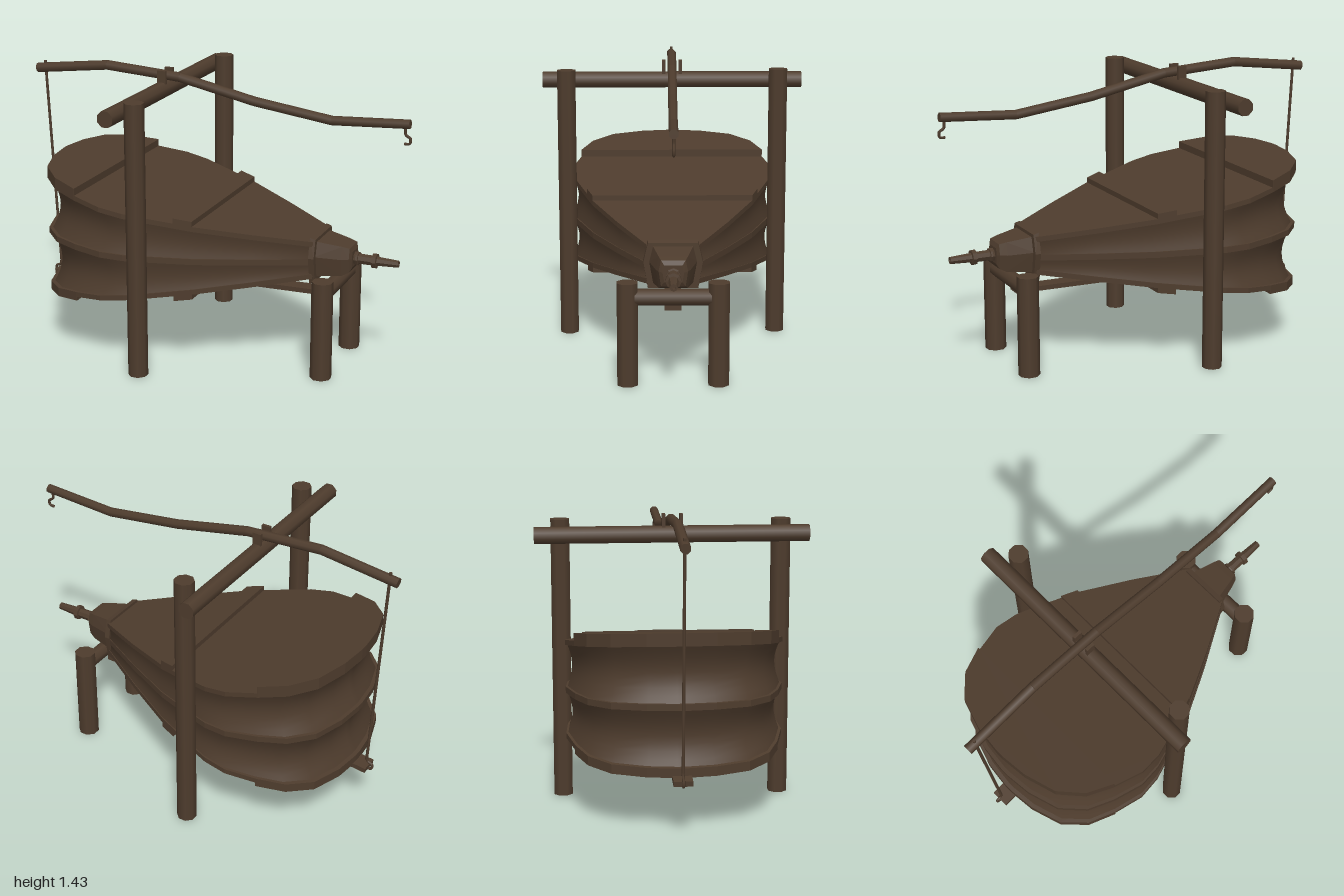
import * as THREE from 'three';
import { ConvexGeometry } from 'three/addons/geometries/ConvexGeometry.js';

const V = (x, y, z = 0) => new THREE.Vector3(x, y, z);

// Half outline of the bellows boards: [x, half width]
const OUTLINE = [[-0.85, 0.02], [-0.835, 0.16], [-0.785, 0.32], [-0.685, 0.425], [-0.555, 0.48], [-0.4, 0.52],
  [-0.28, 0.51], [-0.2, 0.485], [0.04, 0.4], [0.3, 0.27], [0.56, 0.125]];

function halfWidth(x) {
  for (let i = 1; i < OUTLINE.length; i++) {
    const [x0, w0] = OUTLINE[i - 1], [x1, w1] = OUTLINE[i];
    if (x <= x1) return w0 + (w1 - w0) * (x - x0) / (x1 - x0);
  }
  return OUTLINE[OUTLINE.length - 1][1];
}

// Sloping planes of the three boards
const topY = x => 0.76 - 0.18 * x;
const midY = x => 0.575 - 0.035 * x;
const botY = x => 0.4 + 0.125 * x;

export function createModel() {
  const model = new THREE.Group();
  const wood = new THREE.MeshStandardMaterial({ color: 0x4e3c2d, side: THREE.DoubleSide });
  wood.name = 'dark brown wood';

  const add = (name, geometry) => {
    const mesh = new THREE.Mesh(geometry, wood);
    mesh.name = name;
    model.add(mesh);
    return mesh;
  };

  // Round timber between two points
  const pole = (name, a, b, ra, rb = ra, sides = 8) => {
    const dir = b.clone().sub(a);
    const geo = new THREE.CylinderGeometry(rb, ra, dir.length(), sides);
    geo.rotateY(Math.PI / sides);
    const mesh = add(name, geo);
    mesh.position.copy(a).add(b).multiplyScalar(0.5);
    mesh.quaternion.setFromUnitVectors(V(0, 1, 0), dir.normalize());
  };

  // Flat bar along x between two points
  const bar = (name, a, b, height, width) => {
    const mesh = add(name, new THREE.BoxGeometry(a.distanceTo(b), height, width));
    mesh.position.copy(a).add(b).multiplyScalar(0.5);
    mesh.rotation.z = Math.atan2(b.y - a.y, b.x - a.x);
  };

  // Slab cut from the outline between x0 and x1, sheared onto a sloping plane
  const slab = (name, x0, x1, plane, offset, thickness, scale = 1) => {
    const xs = [x0, ...OUTLINE.map(p => p[0]).filter(x => x > x0 && x < x1), x1];
    const side = xs.map(x => new THREE.Vector2(x, halfWidth(x) * scale));
    const back = side.map(p => new THREE.Vector2(p.x, -p.y)).reverse();
    const geo = new THREE.ExtrudeGeometry(new THREE.Shape([...side, ...back]), { depth: thickness, bevelEnabled: false });
    geo.rotateX(-Math.PI / 2);
    const p = geo.attributes.position;
    for (let i = 0; i < p.count; i++) p.setY(i, p.getY(i) + plane(p.getX(i)) + offset);
    geo.computeVertexNormals();
    add(name, geo);
  };

  // Bellows boards with thick rear planks and cross battens
  slab('topBoard', -0.85, 0.56, topY, -0.025, 0.025);
  slab('topRearPlank', -0.85, -0.55, topY, 0, 0.036);
  slab('topBatten', -0.045, 0.04, topY, 0, 0.026);
  slab('middleBoard', -0.85, 0.56, midY, -0.015, 0.03);
  slab('bottomBoard', -0.85, 0.56, botY, 0, 0.025);
  slab('bottomRearPlank', -0.85, -0.55, botY, -0.02, 0.02);
  slab('bottomBatten', -0.045, 0.04, botY, -0.025, 0.025);

  // Leather folds, pulled inwards between neighbouring boards
  const leather = (name, lower, upper) => {
    const loop = [...OUTLINE, ...OUTLINE.slice().reverse().map(([x, w]) => [x, -w])];
    const rows = 8, n = loop.length, pos = [], index = [];
    for (let r = 0; r <= rows; r++) {
      const t = r / rows, k = 0.012 + 0.032 * Math.sin(Math.PI * t);
      for (const [x, z] of loop) {
        pos.push(0.56 + (x - 0.56) * (1 - k), lower(x) + (upper(x) - lower(x)) * t, z * (1 - 1.4 * k));
      }
    }
    for (let r = 0; r < rows; r++) {
      for (let i = 0; i < n; i++) {
        const a = r * n + i, b = r * n + (i + 1) % n;
        index.push(a, b, b + n, a, b + n, a + n);
      }
    }
    const geo = new THREE.BufferGeometry();
    geo.setAttribute('position', new THREE.Float32BufferAttribute(pos, 3));
    geo.setIndex(index);
    geo.computeVertexNormals();
    add(name, geo);
  };
  leather('upperLeather', x => midY(x) + 0.01, x => topY(x) - 0.02);
  leather('lowerLeather', x => botY(x) + 0.02, x => midY(x) - 0.01);

  // Nose: collar, tapered block
  const section = (x, yMid, hy, hz) => [[1, 0.84], [0.15, 1], [-1, 0.84]].flatMap(([v, w]) =>
    [V(x, yMid + v * hy, w * hz), V(x, yMid + v * hy, -w * hz)]);
  add('noseCollar', new ConvexGeometry([...section(0.542, 0.56, 0.118, 0.142), ...section(0.57, 0.56, 0.11, 0.14)]));
  add('noseBlock', new ConvexGeometry([...section(0.56, 0.565, 0.09, 0.115), ...section(0.69, 0.56, 0.075, 0.08),
    ...section(0.725, 0.565, 0.062, 0.068), ...section(0.735, 0.565, 0.04, 0.05)]));

  // Nozzle with rings
  const nozzle = [[0, 0.72], [0.03, 0.72], [0.035, 0.745], [0.035, 0.755], [0.027, 0.757], [0.026, 0.825], [0.038, 0.827],
    [0.038, 0.848], [0.024, 0.85], [0.018, 0.957], [0.009, 0.957], [0.009, 0.93], [0, 0.93]];
  const nozzleGeo = new THREE.LatheGeometry(nozzle.map(([r, x]) => new THREE.Vector2(r, x)), 8).toNonIndexed();
  nozzleGeo.computeVertexNormals();
  nozzleGeo.rotateZ(-Math.PI / 2);
  add('nozzle', nozzleGeo).position.y = 0.562;

  // Supporting frame
  for (const s of [1, -1]) {
    const side = s > 0 ? 'front' : 'back';
    pole(side + 'TallPost', V(-0.19, s > 0 ? 0 : 0.008, s * 0.535), V(-0.19, s > 0 ? 1.375 : 1.382, s * 0.535), 0.049);
    pole(side + 'ShortLeg', V(0.645, 0, s * 0.215), V(0.645, 0.5, s * 0.215), 0.053);
    // Cheeks that hold the lever on the beam
    const cheek = add(side + 'LeverCheek', new THREE.BoxGeometry(0.045, 0.075, 0.016));
    cheek.position.set(-0.278, 1.375, s * 0.042);
  }
  pole('topBeam', V(-0.28, 1.315, 0.66), V(-0.28, 1.315, -0.66), 0.042);
  pole('legBeam', V(0.643, 0.428, 0.19), V(0.643, 0.428, -0.19), 0.04);

  // Bent lever pole
  const lever = [V(-1, 1.353), V(-0.6, 1.403), V(-0.2, 1.378), V(0.2, 1.295), V(0.6, 1.242), V(0.988, 1.265)];
  for (let i = 1; i < lever.length; i++) {
    const stretch = lever[i].clone().sub(lever[i - 1]).setLength(i < lever.length - 1 ? 0.002 : 0);
    pole('lever', lever[i - 1], lever[i].clone().add(stretch), 0.0255 - i * 0.0005, 0.025 - i * 0.0005);
  }

  // Pull rod and bottom arm
  pole('pullRod', V(-0.957, 1.395), V(-0.9, 0.305), 0.008, 0.008, 6);
  bar('bottomArm', V(-0.915, 0.264), V(-0.53, 0.305), 0.025, 0.09);
  bar('supportBar', V(-0.3, 0.352), V(0.63, 0.37), 0.024, 0.08);

  // Bent wire hooks
  const hook = (name, points) =>
    add(name, new THREE.TubeGeometry(new THREE.CatmullRomCurve3(points), 16, 0.007, 6));
  hook('leverHook', [V(0.965, 1.25), V(0.967, 1.212), V(0.99, 1.195), V(0.988, 1.17), V(0.962, 1.166)]);
  hook('rodHook', [V(-0.9, 0.315), V(-0.907, 0.292), V(-0.93, 0.28), V(-0.928, 0.255), V(-0.9, 0.25)]);

  return model;
}
